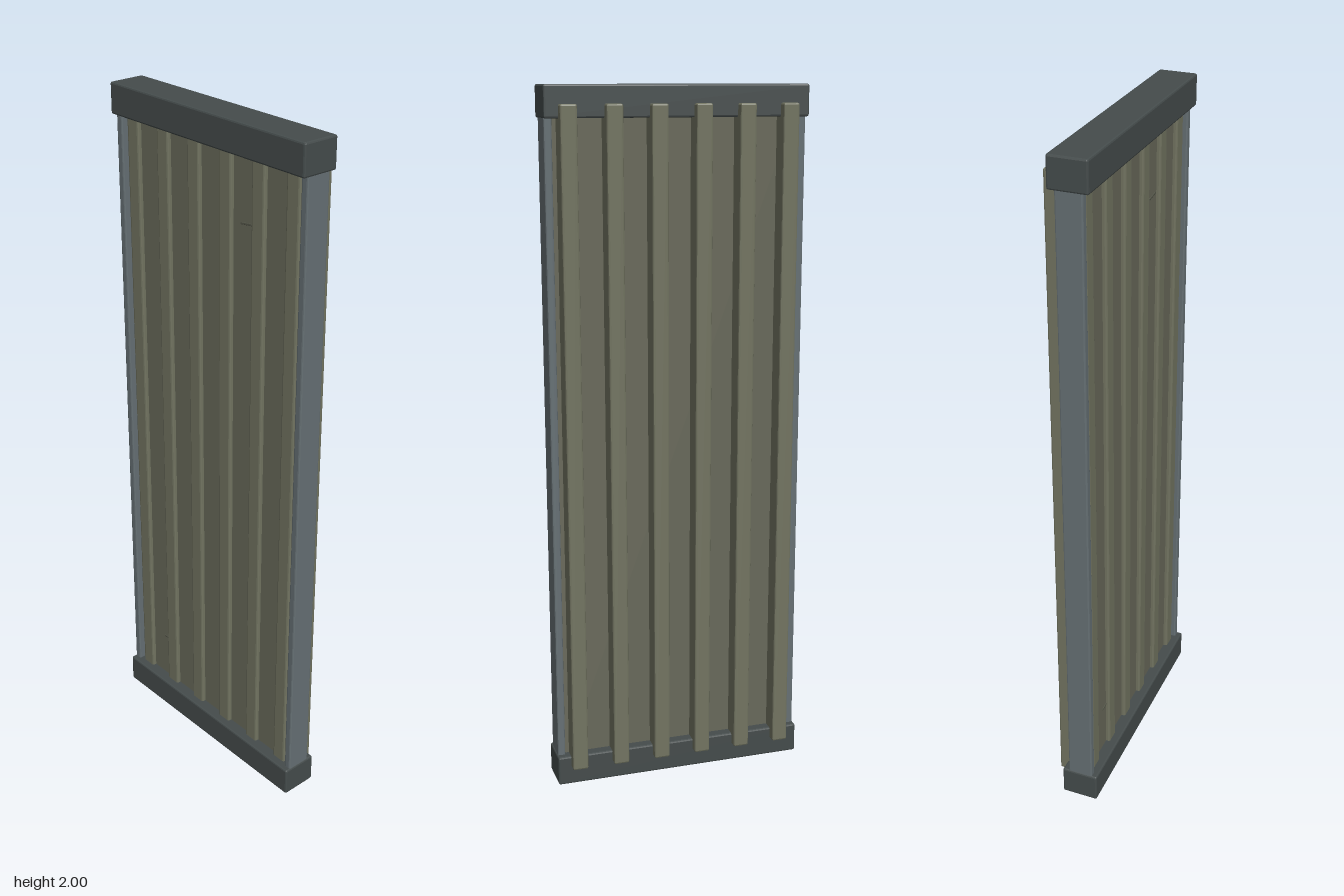
import * as THREE from 'three';
import { RoundedBoxGeometry } from 'three/addons/geometries/RoundedBoxGeometry.js';

const paint = (color) => new THREE.MeshStandardMaterial({ color, flatShading: true });

export function createModel() {
  const group = new THREE.Group();
  const railPaint = paint(0x454c4c);
  const postPaint = paint(0x667074);
  const sheetPaint = paint(0x68695a);
  const ribPaint = paint(0x727461);
  const scratchPaint = paint(0x55574a);

  // Chamfered box given by its minimum and maximum corners
  function block(name, [x0, y0, z0], [x1, y1, z1], bevel, material) {
    const geometry = new RoundedBoxGeometry(x1 - x0, y1 - y0, z1 - z0, 1, bevel);
    const mesh = new THREE.Mesh(geometry, material);
    mesh.position.set((x0 + x1) / 2, (y0 + y1) / 2, (z0 + z1) / 2);
    mesh.name = name;
    group.add(mesh);
    return mesh;
  }

  // Top and bottom rails
  block('bottomRail', [-0.373, 0, -0.043], [0.373, 0.087, 0.066], 0.005, railPaint);
  block('topRail', [-0.373, 1.913, -0.043], [0.373, 2, 0.066], 0.005, railPaint);

  // Side posts
  block('rightPost', [-0.37, 0.04, -0.024], [-0.348, 1.96, 0.05], 0.004, postPaint);
  block('leftPost', [0.348, 0.04, -0.024], [0.37, 1.96, 0.05], 0.004, postPaint);

  // Flat sheet between the posts
  block('sheet', [-0.355, 0.04, -0.012], [0.355, 1.96, 0.03], 0.002, sheetPaint);

  // Six upright ribs, standing proud at the back and slightly at the front
  for (let i = 0; i < 6; i++) {
    const x = (i - 2.5) * 0.1248;
    block('rib', [x - 0.023, 0.053, -0.068], [x + 0.023, 1.95, 0.042], 0.005, ribPaint);
  }

  // Two small scratches on the front of the sheet
  for (const [x, y] of [[0.135, 1.73], [-0.215, 0.235]]) {
    const scratch = block('scratch', [x - 0.022, y - 0.003, 0.028], [x + 0.022, y + 0.003, 0.032], 0.001, scratchPaint);
    scratch.rotation.z = 0.12;
  }
  return group;
}
